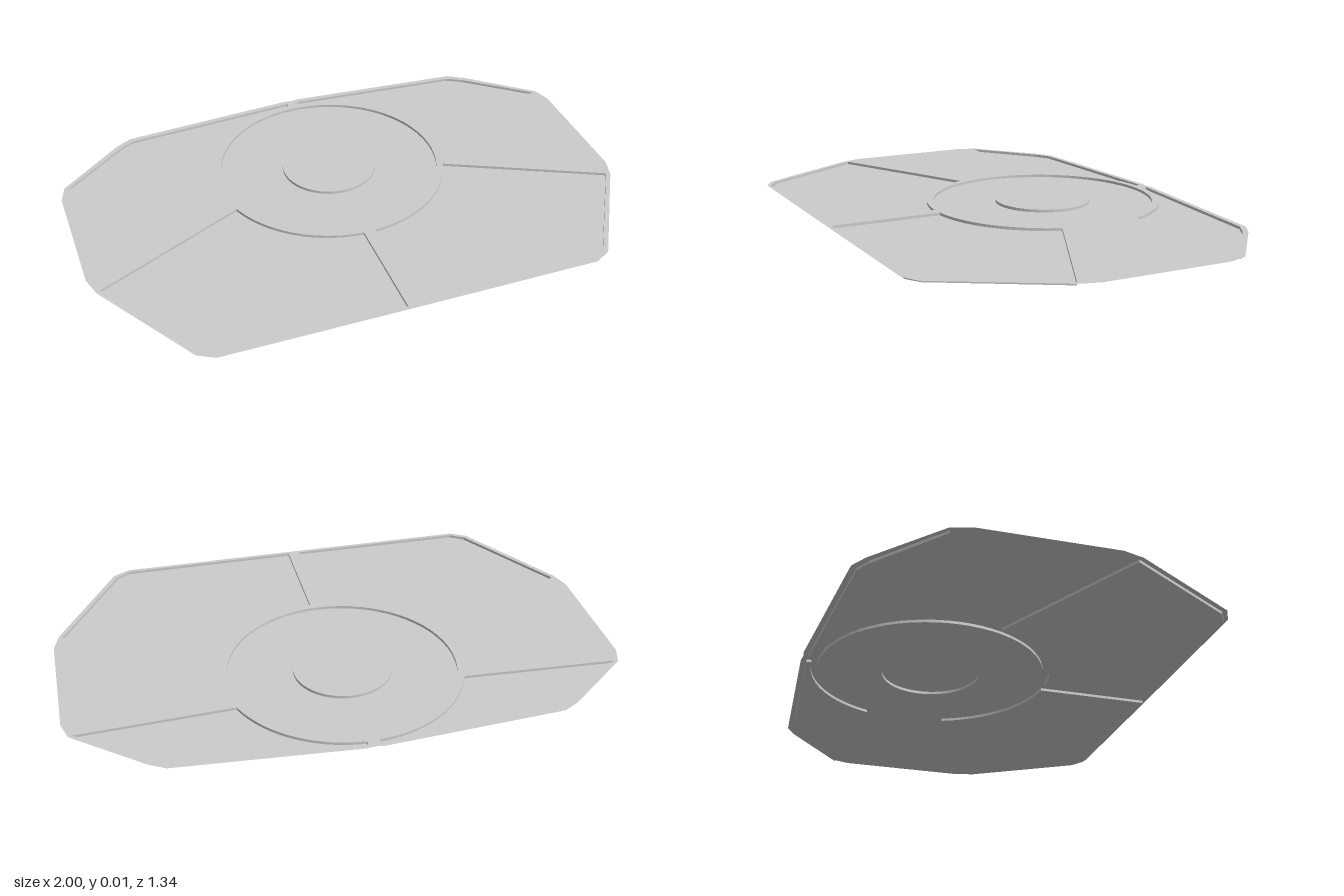
import * as THREE from 'three';

const H = 0.01;              // height of the raised level
const CZ = 0.2;              // plan position of the round centre (plan y = -z)
const R_RING = 0.436, R_WELL = 0.412, R_HUB = 0.177;

const V = (x, y) => new THREE.Vector2(x, y);
const mirror = (pts) => pts.map((p) => V(-p.x, p.y)).reverse();

function arc(r, a0, a1, n) {
  return Array.from({ length: n + 1 }, (_, i) => {
    const a = a0 + ((a1 - a0) * i) / n;
    return V(r * Math.cos(a), CZ + r * Math.sin(a));
  });
}
const circle = (r) => arc(r, 0, Math.PI * 2, 64).slice(0, -1);

export function createModel() {
  const group = new THREE.Group();
  const material = new THREE.MeshStandardMaterial({ color: 0xcccccc, side: THREE.DoubleSide });

  const add = (name, geometry) => {
    const mesh = new THREE.Mesh(geometry, material);
    mesh.name = name;
    group.add(mesh);
  };

  // Flat horizontal sheet at height y, with optional holes
  const sheet = (name, pts, y, holes = []) => {
    const shape = new THREE.Shape(pts);
    shape.holes = holes.map((h) => new THREE.Path(h));
    add(name, new THREE.ShapeGeometry(shape).rotateX(-Math.PI / 2).translate(0, y, 0));
  };

  // Vertical step between the two levels along a closed loop
  const step = (name, pts) => {
    const pos = [];
    pts.forEach((p, i) => {
      const q = pts[(i + 1) % pts.length];
      pos.push(p.x, 0, -p.y, q.x, 0, -q.y, q.x, H, -q.y);
      pos.push(p.x, 0, -p.y, q.x, H, -q.y, p.x, H, -p.y);
    });
    const g = new THREE.BufferGeometry();
    g.setAttribute('position', new THREE.Float32BufferAttribute(pos, 3));
    g.computeVertexNormals();
    add(name, g);
  };

  // Plan outline of the plate, one half mirrored
  const half = [
    V(0.03, -0.664), V(0.68, -0.663), V(0.74, -0.63), V(0.978, -0.23), V(1, -0.155),
    V(1, 0.32), V(0.978, 0.39), V(0.74, 0.59), V(0.68, 0.625), V(0.03, 0.672),
  ];
  const outline = [...half, V(0, 0.668), ...mirror(half)];

  // Sunken panels, leaving a thin rim, a centre rib and the ring
  const front = [
    V(0.022, -0.65), V(0.675, -0.649), V(0.727, -0.617), V(0.965, -0.22),
    ...arc(R_RING, -0.35, -Math.PI / 2 + 0.05, 24),
  ];
  const back = [
    V(0.022, 0.653), V(0.672, 0.606), V(0.728, 0.574), V(0.965, 0.383),
    ...arc(R_RING, 0.36, Math.PI / 2 - 0.05, 24),
  ];
  const panels = {
    frontLeftPanel: front, frontRightPanel: mirror(front),
    backLeftPanel: back, backRightPanel: mirror(back),
  };
  const well = circle(R_WELL), hub = circle(R_HUB);

  // Raised sheet: side panels, rim, ribs and ring
  sheet('raisedFrame', outline, H, [...Object.values(panels), well]);
  for (const [name, pts] of Object.entries(panels)) {
    sheet(name, pts, 0);
    step(name + 'Edge', pts);
  }

  // Round sunken well with a raised hub
  sheet('centreWell', well, 0, [hub]);
  step('centreWellEdge', well);
  sheet('hubDisc', hub, H);
  step('hubEdge', hub);

  return group;
}
